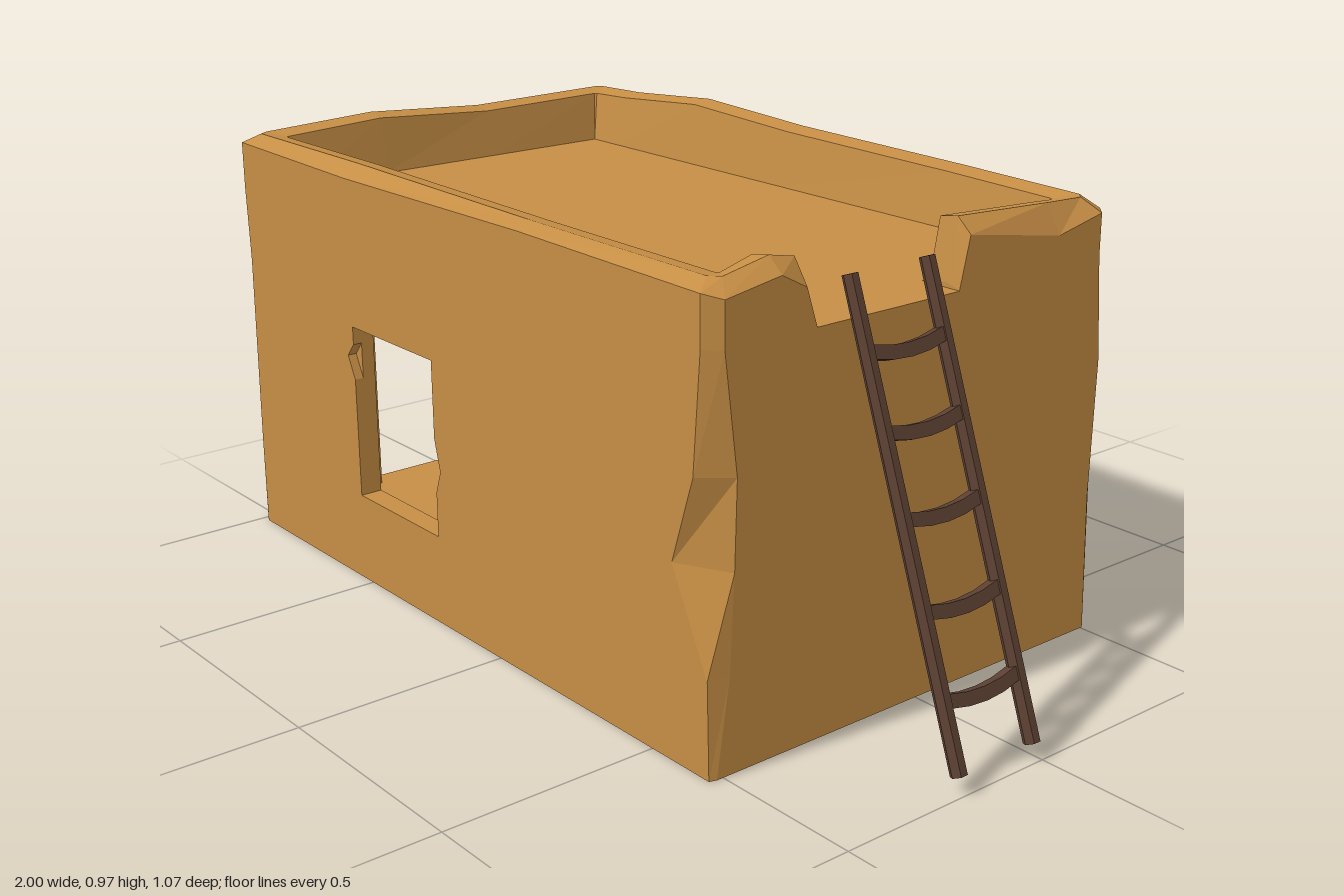
import * as THREE from 'three';

const clay = new THREE.MeshStandardMaterial({ name: 'clay', color: 0xc68e45, flatShading: true, side: THREE.DoubleSide });
const wood = new THREE.MeshStandardMaterial({ name: 'dark wood', color: 0x5c4033, flatShading: true });

// Outer limits of the house, roof level and wall thickness
const L = -1, R = 0.67, B = -0.515, F = 0.53, ROOF = 0.82, T = 0.05;

// Worn corners: [height, bite along x, bite along z]
const corners = {
  backRight: [[0, 0.01, 0.01], [0.3, 0.015, 0.02], [0.6, 0.02, 0.012], [ROOF, 0.03, 0.03]],
  backLeft: [[0, 0.015, 0.01], [0.35, 0.025, 0.02], [0.65, 0.02, 0.03], [ROOF, 0.02, 0.02]],
  frontLeft: [[0, 0.02, 0.01], [0.2, 0.02, 0.02], [0.65, 0.028, 0.025], [ROOF, 0.02, 0.03]],
  frontRight: [[0, 0.005, 0.015], [0.2, 0.01, 0.045], [0.4, 0.11, 0.055], [0.58, 0.05, 0.06], [ROOF, 0.03, 0.03]],
};

function add(parent, name, geometry, material) {
  const mesh = new THREE.Mesh(geometry, material);
  mesh.name = name;
  parent.add(mesh);
  return mesh;
}

function box(parent, name, x0, x1, y0, y1, z0, z1) {
  const g = new THREE.BoxGeometry(x1 - x0, y1 - y0, z1 - z0);
  g.translate((x0 + x1) / 2, (y0 + y1) / 2, (z0 + z1) / 2);
  return add(parent, name, g, clay);
}

// Skin stretched over rows of points, optionally closed at both ends
function skin(rows, capped) {
  const n = rows[0].length, index = [];
  for (let i = 0; i < rows.length - 1; i++) {
    for (let j = 0; j < n - 1; j++) {
      const a = i * n + j, b = a + n;
      index.push(a, b, b + 1, a, b + 1, a + 1);
    }
  }
  if (capped) {
    const e = (rows.length - 1) * n;
    for (let j = 1; j < n - 1; j++) index.push(0, j, j + 1, e, e + j + 1, e + j);
  }
  const g = new THREE.BufferGeometry();
  g.setAttribute('position', new THREE.Float32BufferAttribute(rows.flat(2), 3));
  g.setIndex(index);
  g.computeVertexNormals();
  return g;
}

// Rectangular opening; chips are [height, size] bites in its left and right edges
function opening(u0, u1, y0, y1, leftChip, rightChip) {
  const pts = [[u0, y0]];
  if (leftChip) {
    const [y, s] = leftChip;
    pts.push([u0, y - 0.05], [u0 - s, y], [u0, y + 0.03]);
  }
  pts.push([u0, y1], [u1, y1]);
  if (rightChip) {
    const [y, s] = rightChip;
    pts.push([u1, y + 0.07], [u1 + s, y], [u1, y - 0.05]);
  }
  pts.push([u1, y0]);
  return new THREE.Path(pts.map(([x, y]) => new THREE.Vector2(x, y)));
}

// Wall panel: a chipped outer layer over a clean inner layer
function wall(parent, name, turn, distance, u0, u1, c0, c1, axis, hole) {
  const group = new THREE.Group();
  group.name = name;
  group.rotation.y = turn;
  const outline = [
    ...c0.map(l => new THREE.Vector2(u0 + l[axis], l[0])),
    ...[...c1].reverse().map(l => new THREE.Vector2(u1 - l[axis], l[0])),
  ];
  for (const [label, depth, z, chipped] of [['outerLayer', 0.02, distance - 0.02, true], ['innerLayer', T - 0.02, distance - T, false]]) {
    const shape = new THREE.Shape(outline);
    if (hole) shape.holes.push(opening(...hole.slice(0, chipped ? 6 : 4)));
    const g = new THREE.ExtrudeGeometry(shape, { depth, bevelEnabled: false });
    g.translate(0, 0, z);
    add(group, label, g, clay);
  }
  parent.add(group);
}

function buildHouse() {
  const house = new THREE.Group();
  house.name = 'house';
  const { backRight, backLeft, frontLeft, frontRight } = corners;

  // Four walls, with two windows and a doorway
  wall(house, 'frontWall', 0, F, L, R, frontLeft, frontRight, 1, [-0.53, -0.22, 0.2, 0.59, [0.52, 0.025], [0.35, 0.018]]);
  wall(house, 'rightWall', Math.PI / 2, R, -F, -B, frontRight, backRight, 2);
  wall(house, 'backWall', Math.PI, -B, -R, -L, backRight, backLeft, 1, [0.22, 0.53, 0.2, 0.59, [0.34, 0.025], [0.28, 0.025]]);
  wall(house, 'leftWall', -Math.PI / 2, -L, B, F, backLeft, frontLeft, 2, [-0.21, 0.23, 0.03, 0.58]);

  // Chamfered faces joining the walls
  const onX = (c, x, z, s) => c.map(([y, , dz]) => [x, y, z + s * dz]);
  const onZ = (c, x, z, s) => c.map(([y, dx]) => [x + s * dx, y, z]);
  add(house, 'backRightCorner', skin([onX(backRight, R, B, 1), onZ(backRight, R, B, -1)]), clay);
  add(house, 'backLeftCorner', skin([onZ(backLeft, L, B, 1), onX(backLeft, L, B, 1)]), clay);
  add(house, 'frontLeftCorner', skin([onX(frontLeft, L, F, -1), onZ(frontLeft, L, F, 1)]), clay);
  add(house, 'frontRightCorner', skin([onZ(frontRight, R, F, -1), onX(frontRight, R, F, -1)]), clay);

  box(house, 'floor', L + 0.015, R - 0.01, 0, 0.03, B + 0.01, F - 0.015);
  box(house, 'roof', L + T, R - T, ROOF - 0.06, ROOF, B + T, F - T);

  // Uneven parapet: [outer x, outer z, inner x, inner z, top height, outer bevel]
  const iL = -0.9, iR = 0.57, iB = -0.41, iF = 0.43;
  const stations = [
    [R, -0.08, iR, -0.08, 0.83, 0.008],
    [R, -0.105, iR, -0.105, 0.955, 0.03],
    [R, -0.36, iR, -0.36, 0.942, 0.06],
    [R, B + 0.03, iR, iB, 0.938, 0.03],
    [R - 0.03, B, iR, iB, 0.938, 0.03],
    [0.3, B, 0.3, iB, 0.945, 0.03],
    [-0.2, B, -0.2, iB, 0.952, 0.03],
    [-0.53, B, -0.53, iB, 0.967, 0.045],
    [-0.8, B, -0.8, iB, 0.945, 0.02],
    [L + 0.02, B, iL, iB, 0.94, 0.02],
    [L, B + 0.02, iL, iB, 0.94, 0.02],
    [L, -0.1, iL, -0.1, 0.935, 0.04],
    [L, 0.2, iL, 0.2, 0.955, 0.03],
    [L, F - 0.03, iL, iF, 0.943, 0.02],
    [L + 0.02, F, iL, iF, 0.943, 0.02],
    [-0.53, F, -0.53, iF, 0.945, 0.028],
    [0.1, F, 0.1, iF, 0.94, 0.015],
    [R - 0.03, F, iR, iF, 0.94, 0.02],
    [R, F - 0.03, iR, iF, 0.94, 0.03],
    [R, 0.37, iR, 0.37, 0.96, 0.03],
    [R, 0.31, iR, 0.31, 0.948, 0.05],
    [R, 0.285, iR, 0.285, 0.83, 0.008],
  ];
  const rows = stations.map(([ox, oz, ix, iz, h, d]) =>
    [[0, ROOF], [0, h - d], [0.35, h], [0.8, h - 0.008], [1, ROOF]].map(([t, y]) => [ox + (ix - ox) * t, y, oz + (iz - oz) * t]));
  add(house, 'parapet', skin(rows, true), clay);

  // Raised plaster patch low on the back wall
  const edge = [[0.635, 0], [0.635, 0.03], [0.545, 0.1], [0.42, 0.18], [0.3, 0.24], [0.23, 0.235], [0.1, 0.19], [0, 0.11], [-0.19, 0.06], [-0.53, 0.01], [-0.53, 0]];
  const patch = new THREE.ExtrudeGeometry(new THREE.Shape(edge.map(([x, y]) => new THREE.Vector2(x, y))), { depth: 0.03, bevelEnabled: false });
  patch.translate(0, 0, B - 0.02);
  add(house, 'plasterPatch', patch, clay);
  return house;
}

// Leaning ladder with sagging rungs
function buildLadder() {
  const ladder = new THREE.Group();
  ladder.name = 'ladder';
  for (const [name, z] of [['frontRail', 0.098], ['backRail', -0.098]]) {
    add(ladder, name, new THREE.CylinderGeometry(0.016, 0.017, 0.925, 6), wood).position.z = z;
  }
  for (const y of [0.152, 0.307, 0.468, 0.618, 0.757]) {
    const g = new THREE.BoxGeometry(0.024, 0.027, 0.18, 1, 1, 4);
    const p = g.attributes.position;
    for (let i = 0; i < p.count; i++) p.setY(i, p.getY(i) + 0.012 * (p.getZ(i) / 0.09) ** 2);
    g.computeVertexNormals();
    add(ladder, 'rung', g, wood).position.y = (y - 0.47) * 1.0625;
  }
  ladder.position.set(0.828, 0.47, 0.112);
  ladder.rotation.z = Math.atan2(0.315, 0.88);
  return ladder;
}

export function createModel() {
  const model = new THREE.Group();
  model.name = 'clayHouse';
  model.add(buildHouse(), buildLadder());
  return model;
}
